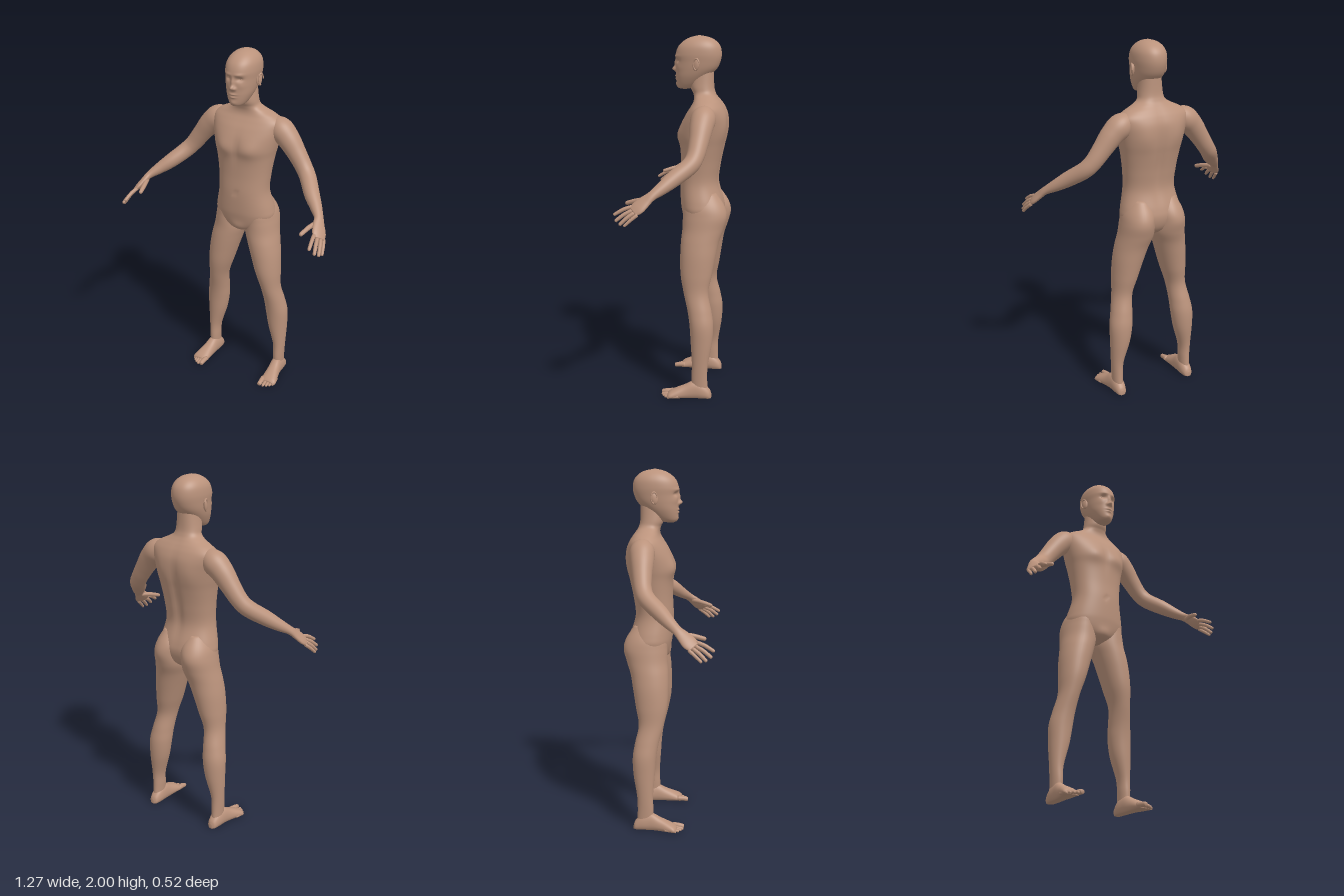
import * as THREE from 'three';

// Smoothly resample rows of section values into n rows
function resample(rows, n) {
  const curve = new THREE.CubicInterpolant(rows.map((_, i) => i), rows.flat(), rows[0].length);
  return Array.from({ length: n }, (_, i) => Array.from(curve.evaluate((rows.length - 1) * i / (n - 1))));
}

// Skin a list of closed rings, cap both ends and turn all faces outwards
function skin(rings) {
  const n = rings[0].length, m = rings.length, pos = [], idx = [];
  rings.forEach(r => r.forEach(p => pos.push(p.x, p.y, p.z)));
  for (let i = 0; i < m - 1; i++) {
    for (let j = 0; j < n; j++) {
      const k = (j + 1) % n, a = i * n + j, b = i * n + k;
      idx.push(a, a + n, b, b, a + n, b + n);
    }
  }
  [0, m - 1].forEach((row, end) => {
    const c = rings[row].reduce((s, p) => s.add(p), new THREE.Vector3()).divideScalar(n);
    const ci = pos.length / 3;
    pos.push(c.x, c.y, c.z);
    for (let j = 0; j < n; j++) {
      const a = row * n + j, b = row * n + (j + 1) % n;
      idx.push(ci, end ? b : a, end ? a : b);
    }
  });
  const at = i => new THREE.Vector3().fromArray(pos, i * 3);
  let volume = 0;
  for (let i = 0; i < idx.length; i += 3) volume += at(idx[i]).dot(at(idx[i + 1]).cross(at(idx[i + 2])));
  if (volume < 0) idx.reverse();
  const g = new THREE.BufferGeometry();
  g.setAttribute('position', new THREE.Float32BufferAttribute(pos, 3));
  g.setIndex(idx);
  g.computeVertexNormals();
  return g;
}

const spow = (v, e) => Math.sign(v) * Math.abs(v) ** e;

// Upright body from rows [y, centre x, half width, front z, back z]
function upright(rows, n, seg, power, side = 1, shape = null) {
  return skin(resample(rows, n).map(([y, cx, hw, zf, zb]) =>
    Array.from({ length: seg }, (_, j) => {
      const t = j / seg * Math.PI * 2, s = Math.sin(t);
      const v = new THREE.Vector3(side * (cx + hw * spow(Math.cos(t), 2 / power)), y,
        (zf + zb) / 2 + (zf - zb) / 2 * spow(s, 2 / power));
      if (shape) shape(v, s);
      return v;
    })));
}

// Limb along a path from rows [x, y, z, radius across, radius through]
const ACROSS = new THREE.Vector3(0.62, -0.47, -0.62);
function limb(rows, n, seg, side) {
  const s = resample(rows, n), p = s.map(r => new THREE.Vector3(r[0], r[1], r[2]));
  return skin(s.map((r, i) => {
    const t = p[Math.min(i + 1, n - 1)].clone().sub(p[Math.max(i - 1, 0)]).normalize();
    const u = ACROSS.clone().addScaledVector(t, -ACROSS.dot(t)).normalize();
    const w = t.clone().cross(u);
    return Array.from({ length: seg }, (_, j) => {
      const a = j / seg * Math.PI * 2;
      const v = p[i].clone().addScaledVector(u, Math.cos(a) * r[3]).addScaledVector(w, Math.sin(a) * r[4]);
      v.x *= side;
      return v;
    });
  }));
}

// Soft mirrored bump centred at (+-x, y)
const bump = (v, x, y, sx, sy) => Math.exp(-(((Math.abs(v.x) - x) / sx) ** 2) - ((v.y - y) / sy) ** 2);

// Finger or toe with a rounded tip
function digit(base, mid, tip, r, side) {
  const near = mid.map((v, i) => v + (tip[i] - v) * 0.8);
  const last = mid.map((v, i) => v + (tip[i] - v) * 0.95);
  return limb([[...base, r, r], [...mid, r, r], [...near, r * 0.85, r * 0.85],
    [...last, r * 0.6, r * 0.6], [...tip, r * 0.08, r * 0.08]], 17, 12, side);
}

const TORSO = [
  [0.94, 0, 0.02, -0.07, -0.16], [0.965, 0, 0.09, -0.03, -0.2], [1.0, 0, 0.155, -0.012, -0.225],
  [1.05, 0, 0.176, 0, -0.237], [1.1, 0, 0.17, 0.006, -0.23], [1.2, 0, 0.148, 0.01, -0.203],
  [1.3, 0, 0.153, 0.006, -0.213], [1.4, 0, 0.168, 0.008, -0.233], [1.46, 0, 0.182, 0.012, -0.245],
  [1.52, 0, 0.195, 0.002, -0.25], [1.57, 0, 0.205, -0.02, -0.247], [1.61, 0, 0.205, -0.045, -0.233],
  [1.64, 0, 0.168, -0.062, -0.215], [1.665, 0, 0.115, -0.066, -0.197], [1.69, 0, 0.077, -0.06, -0.183],
  [1.73, 0, 0.067, -0.045, -0.174], [1.83, 0, 0.055, -0.05, -0.172]];

const HEAD = [
  [1.712, 0, 0.015, 0.012, -0.03], [1.72, 0, 0.036, 0.026, -0.065], [1.74, 0, 0.052, 0.033, -0.1],
  [1.78, 0, 0.07, 0.036, -0.145], [1.82, 0, 0.08, 0.036, -0.187], [1.86, 0, 0.085, 0.036, -0.207],
  [1.9, 0, 0.088, 0.038, -0.214], [1.94, 0, 0.083, 0.024, -0.207], [1.97, 0, 0.066, -0.005, -0.184],
  [1.99, 0, 0.039, -0.042, -0.148], [2.0, 0, 0.003, -0.085, -0.1]];

const LEG = [
  [1.15, 0.085, 0.05, -0.06, -0.2], [1.08, 0.088, 0.083, -0.022, -0.247], [1.02, 0.096, 0.089, -0.018, -0.262],
  [0.95, 0.1, 0.095, -0.016, -0.245], [0.88, 0.118, 0.091, -0.011, -0.222], [0.8, 0.137, 0.084, -0.01, -0.207],
  [0.7, 0.156, 0.071, -0.015, -0.19], [0.6, 0.174, 0.056, -0.035, -0.173], [0.5, 0.19, 0.06, -0.06, -0.193],
  [0.42, 0.2, 0.064, -0.073, -0.205], [0.32, 0.208, 0.055, -0.081, -0.2], [0.2, 0.223, 0.035, -0.09, -0.18],
  [0.12, 0.224, 0.03, -0.088, -0.177], [0.04, 0.224, 0.026, -0.09, -0.18]];

// Arm, wrist and palm in one run
const ARM = [
  [0.12, 1.6, -0.15, 0.035, 0.035], [0.19, 1.572, -0.145, 0.066, 0.066], [0.245, 1.525, -0.14, 0.063, 0.062],
  [0.3, 1.455, -0.135, 0.053, 0.053], [0.35, 1.388, -0.125, 0.047, 0.047], [0.39, 1.343, -0.1, 0.046, 0.045],
  [0.45, 1.287, -0.03, 0.043, 0.041], [0.5, 1.246, 0.02, 0.034, 0.032], [0.54, 1.213, 0.065, 0.027, 0.021],
  [0.556, 1.188, 0.096, 0.035, 0.018], [0.575, 1.157, 0.13, 0.042, 0.016], [0.587, 1.137, 0.155, 0.034, 0.01]];

// Foot rows [z, centre x, half width, height]
const FOOT = [
  [-0.2, 0.223, 0.01, 0.03], [-0.188, 0.223, 0.026, 0.055], [-0.15, 0.223, 0.035, 0.09], [-0.1, 0.225, 0.036, 0.1],
  [-0.05, 0.23, 0.039, 0.076], [0, 0.237, 0.046, 0.054], [0.028, 0.24, 0.048, 0.04], [0.043, 0.238, 0.04, 0.028]];

// Knuckle, middle and tip of each finger, then the thumb
const FINGERS = [
  [[0.563, 1.158, 0.165], [0.571, 1.145, 0.205], [0.58, 1.115, 0.258]],
  [[0.58, 1.142, 0.16], [0.592, 1.122, 0.2], [0.606, 1.088, 0.245]],
  [[0.594, 1.132, 0.147], [0.607, 1.108, 0.182], [0.619, 1.072, 0.22]],
  [[0.604, 1.125, 0.128], [0.616, 1.1, 0.16], [0.627, 1.068, 0.195]],
  [[0.54, 1.192, 0.09], [0.522, 1.183, 0.142], [0.504, 1.163, 0.212]]];

export function createModel() {
  const model = new THREE.Group();
  model.name = 'humanFigure';
  const skinTone = new THREE.MeshStandardMaterial({ color: 0xbb937c });
  skinTone.name = 'skin';
  const add = (name, geometry) => {
    const mesh = new THREE.Mesh(geometry, skinTone);
    mesh.name = name;
    model.add(mesh);
    return mesh;
  };

  // Torso and neck: chest, navel, shoulder blades and spine
  add('torso', upright(TORSO, 100, 72, 2.25, 1, (v, s) => {
    if (s > 0) {
      v.z += s * (0.016 * bump(v, 0.085, 1.465, 0.06, 0.05) - 0.006 * bump(v, 0, 1.47, 0.02, 0.08)
        - 0.007 * bump(v, 0, 1.2, 0.012, 0.012) + 0.01 * bump(v, 0, 0.985, 0.04, 0.03));
    } else {
      v.z += -s * (0.014 * bump(v, 0, 1.36, 0.025, 0.2) - 0.008 * bump(v, 0.1, 1.5, 0.05, 0.07));
    }
  }));

  // Head with the face pushed and pulled from the front
  add('head', upright(HEAD, 100, 128, 2.15, 1, (v, s) => {
    if (s <= 0) return;
    v.z += s * (0.021 * bump(v, 0, 1.82, 0.012, 0.013) + 0.011 * bump(v, 0, 1.85, 0.009, 0.024)
      + 0.008 * bump(v, 0.015, 1.815, 0.007, 0.008) - 0.014 * bump(v, 0.034, 1.866, 0.018, 0.012)
      + 0.005 * bump(v, 0.035, 1.89, 0.025, 0.008) + 0.004 * bump(v, 0.05, 1.83, 0.02, 0.02)
      + 0.007 * bump(v, 0, 1.783, 0.02, 0.005) + 0.007 * bump(v, 0, 1.768, 0.017, 0.005)
      - 0.005 * bump(v, 0, 1.775, 0.024, 0.002) + 0.005 * bump(v, 0, 1.735, 0.02, 0.013));
  }));

  for (const side of [1, -1]) {
    const label = side > 0 ? 'left' : 'right';

    // Eye and ear
    const eye = add(label + 'Eye', new THREE.SphereGeometry(0.013, 20, 14));
    eye.position.set(side * 0.034, 1.866, 0.005);
    eye.scale.set(1.1, 0.6, 0.9);
    const ear = add(label + 'Ear', new THREE.SphereGeometry(1, 20, 14));
    ear.scale.set(0.009, 0.032, 0.019);
    ear.position.set(side * 0.091, 1.845, -0.087);
    ear.rotation.set(-0.15, -side * 0.3, 0);
    const rim = add(label + 'EarRim', new THREE.TorusGeometry(0.026, 0.005, 8, 28, Math.PI * 1.5));
    rim.scale.set(0.65, 1.15, 1);
    rim.rotation.set(0, side * (Math.PI / 2 - 0.35), 0);
    rim.position.set(side * 0.098, 1.848, -0.09);

    // Arm, palm, fingers and thumb
    add(label + 'Arm', limb(ARM, 70, 36, side));
    FINGERS.forEach(([a, b, c], i) =>
      add(label + (i < 4 ? 'Finger' : 'Thumb'), digit(a, b, c, [0.0105, 0.0105, 0.0105, 0.009, 0.013][i], side)));

    // Leg and foot
    add(label + 'Leg', upright(LEG, 90, 40, 2.05, side));
    add(label + 'Foot', skin(resample(FOOT, 40).map(([z, cx, hw, h]) =>
      Array.from({ length: 32 }, (_, j) => {
        const t = j / 32 * Math.PI * 2, up = Math.sin(t);
        return new THREE.Vector3(side * (cx + hw * spow(Math.cos(t), 0.85)),
          Math.max(0.005, h * 0.4 + up * h * (up > 0 ? 0.6 : 0.45)), z);
      }))));

    // Toes, largest on the inside
    for (let i = 0; i < 5; i++) {
      const x = [0.205, 0.228, 0.246, 0.262, 0.276][i], r = i ? 0.0095 - i * 0.0004 : 0.0145;
      const z = [0.084, 0.082, 0.073, 0.06, 0.044][i];
      add(label + 'Toe', digit([x - 0.004, r + 0.009, z - 0.065], [x, r + 0.006, z - 0.03], [x, r + 0.001, z], r, side));
    }
  }
  return model;
}
